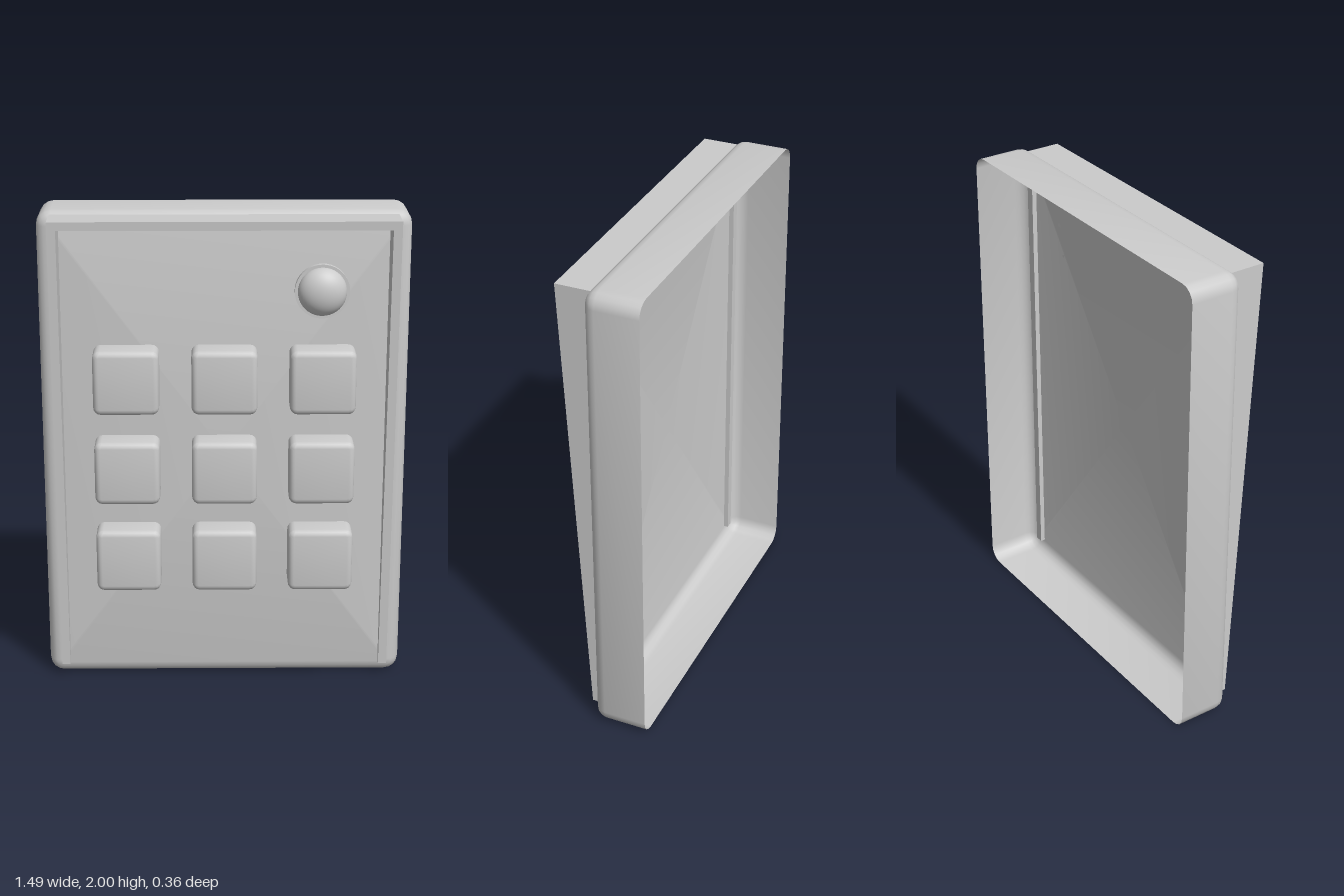
import * as THREE from 'three';
import { toCreasedNormals } from 'three/addons/utils/BufferGeometryUtils.js';

const material = new THREE.MeshStandardMaterial({ color: 0xcccccc, side: THREE.DoubleSide });

// Open-backed rounded box: rounded-rectangle loops from z0 to z1, shrinking along a quarter-round front edge
function roundedShell(w, h, z0, z1, radius, bevel, steps) {
  const loops = [[0, z0]];
  for (let i = 0; i <= steps; i++) {
    const a = (i / steps) * Math.PI / 2;
    loops.push([bevel * (1 - Math.cos(a)), z1 - bevel * (1 - Math.sin(a))]);
  }
  const pos = [], idx = [], n = 4 * (steps + 1);
  for (const [inset, z] of loops) {
    for (let c = 0; c < 4; c++) {
      const sx = c === 0 || c === 3 ? 1 : -1, sy = c < 2 ? 1 : -1;
      for (let i = 0; i <= steps; i++) {
        const a = (c + i / steps) * Math.PI / 2, r = radius - inset;
        pos.push(sx * (w / 2 - radius) + r * Math.cos(a), sy * (h / 2 - radius) + r * Math.sin(a), z);
      }
    }
  }
  for (let l = 0; l < loops.length - 1; l++) {
    for (let i = 0; i < n; i++) {
      const a = l * n + i, b = l * n + (i + 1) % n;
      idx.push(a, b, b + n, a, b + n, a + n);
    }
  }
  // Front face as a fan
  const last = (loops.length - 1) * n, centre = pos.length / 3;
  pos.push(0, 0, z1);
  for (let i = 0; i < n; i++) idx.push(centre, last + i, last + (i + 1) % n);
  const g = new THREE.BufferGeometry();
  g.setAttribute('position', new THREE.Float32BufferAttribute(pos, 3));
  g.setIndex(idx);
  return toCreasedNormals(g, 0.6);
}

// Side profile of [z, y] points extruded across x, centred on x = cx
function sideExtrude(points, width, cx) {
  const shape = new THREE.Shape(points.map(([z, y]) => new THREE.Vector2(z, y)));
  const g = new THREE.ExtrudeGeometry(shape, { depth: width, bevelEnabled: false });
  return g.rotateY(-Math.PI / 2).translate(cx + width / 2, 0, 0);
}

export function createModel() {
  const group = new THREE.Group();
  const add = (name, geometry, x = 0, y = 0, z = 0, parent = group) => {
    const mesh = new THREE.Mesh(geometry, material);
    mesh.name = name;
    mesh.position.set(x, y, z);
    parent.add(mesh);
    return mesh;
  };

  // Hollow case, open at the back
  add('case', roundedShell(1.49, 2, -0.18, 0.05, 0.06, 0.05, 4), 0, 1, 0);

  // Wedge-shaped hood: two side walls and a top wall
  const hood = new THREE.Group();
  hood.name = 'hood';
  group.add(hood);
  const back = 0.03, low = 0.055, high = 1.985, t = 0.035;
  const front = y => 0.08 + 0.1 * (y - low) / (high - low);
  const wall = [[back, low], [front(low), low], [front(high), high], [back, high]];
  for (const s of [-1, 1]) add(s > 0 ? 'leftHoodWall' : 'rightHoodWall', sideExtrude(wall, t, s * 0.6725), 0, 0, 0, hood);
  const top = [[back, high - t], [front(high - t), high - t], [front(high), high], [back, high]];
  add('topHoodWall', sideExtrude(top, 1.31, 0), 0, 0, 0, hood);

  // Three by three keys
  const keys = new THREE.Group();
  keys.name = 'keys';
  group.add(keys);
  const keyGeometry = roundedShell(0.265, 0.265, 0.05, 0.165, 0.03, 0.024, 4);
  for (const y of [1.325, 0.942, 0.56]) {
    for (const x of [-0.395, 0, 0.395]) add('key', keyGeometry, x, y, 0, keys);
  }

  // Round lamp: thin base ring and shallow dome
  add('lampBase', new THREE.CylinderGeometry(0.11, 0.11, 0.02, 40).rotateX(Math.PI / 2), 0.39, 1.68, 0.06);
  const dome = new THREE.SphereGeometry(0.098, 40, 12, 0, Math.PI * 2, 0, Math.PI / 2);
  add('lampDome', dome.scale(1, 0.65, 1).rotateX(Math.PI / 2), 0.39, 1.68, 0.07);

  return group;
}
